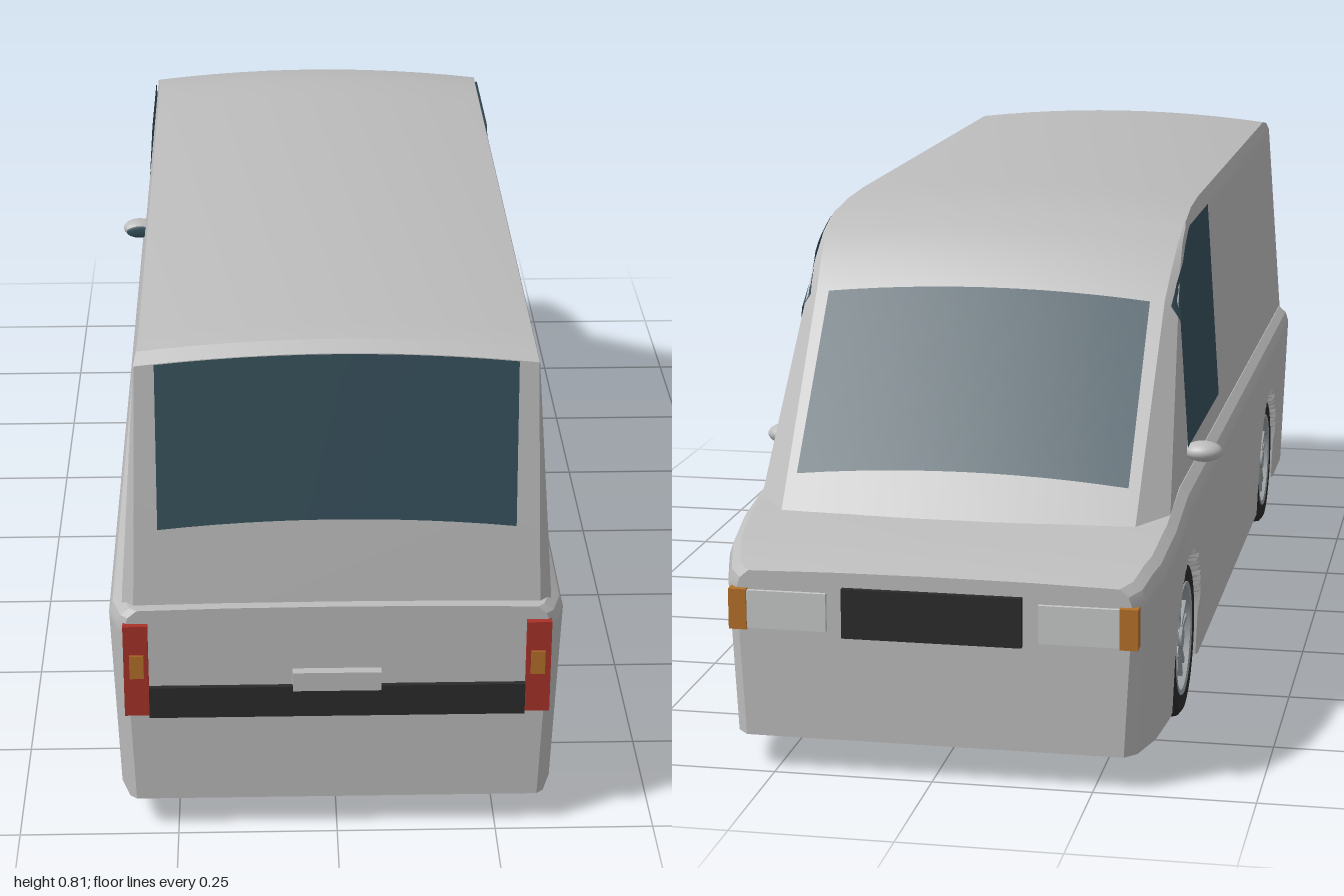
import * as THREE from 'three';
import { toCreasedNormals } from 'three/addons/utils/BufferGeometryUtils.js';

const material = (name, color, side = THREE.FrontSide) => {
  const m = new THREE.MeshStandardMaterial({ color, side });
  m.name = name;
  return m;
};
const paint = material('body paint', 0xbcbcbc);
const glass = material('tinted glass', 0x36505b, THREE.DoubleSide);
const rubber = material('black rubber', 0x2b2b2b);
const red = material('tail red', 0xa8322a);
const amber = material('indicator amber', 0xb5702a);
const lens = material('headlight lens', 0xc6c8c8);
const alloy = material('wheel alloy', 0x9a9fa2);

const { lerp, smoothstep } = THREE.MathUtils;
const mesh = (name, geometry, mat) => {
  const m = new THREE.Mesh(geometry, mat);
  m.name = name;
  return m;
};

// Piecewise linear curve through [input, output] keys
const curve = (keys) => (v) => {
  if (v <= keys[0][0]) return keys[0][1];
  for (let i = 1; i < keys.length; i++) {
    const [a, p] = keys[i - 1], [b, q] = keys[i];
    if (v <= b) return lerp(p, q, (v - a) / (b - a));
  }
  return keys[keys.length - 1][1];
};

// Skin through rows of points; normals point along column x row direction
function skin(rows, crease = 0.4) {
  const n = rows[0].length, index = [];
  for (let r = 0; r < rows.length - 1; r++)
    for (let c = 0; c < n - 1; c++) {
      const a = r * n + c, d = a + n;
      index.push(a, a + 1, d, a + 1, d + 1, d);
    }
  const g = new THREE.BufferGeometry();
  g.setAttribute('position', new THREE.Float32BufferAttribute(rows.flat(2), 3));
  g.setIndex(index);
  return toCreasedNormals(g, crease);
}
const grid = (nu, nv, fn) => Array.from({ length: nu + 1 }, (_, i) =>
  Array.from({ length: nv + 1 }, (_, j) => fn(i / nu, j / nv)));
const mirrorX = (rows) => rows.map((r) => r.map(([x, y, z]) => [-x, y, z]).reverse());

// Lower body: cross-sections along z, dented inwards at the wheels
const AXLES = [-0.615, 0.615];
const beltY = curve([[-0.99, 0.32], [-0.93, 0.342], [-0.82, 0.366], [-0.65, 0.392]]);
const beltX = curve([[-0.99, 0.308], [-0.97, 0.326], [-0.9, 0.344], [-0.8, 0.352],
  [0.93, 0.352], [0.975, 0.338], [0.985, 0.327]]);

function lowerSection(z) {
  const top = beltY(z), hw = beltX(z), half = [];
  for (let i = 0; i <= 30; i++) {
    const y = lerp(0.055, top - 0.03, i / 30);
    let x = hw - 0.012 * (1 - i / 30);
    for (const axle of AXLES) {
      const d = Math.hypot(z - axle, Math.max(0, y - 0.13));
      x = lerp(x, 0.255, 1 - smoothstep(d, 0.134, 0.15));
    }
    half.push([x, y, z]);
  }
  half.push([hw - 0.006, top - 0.012, z], [hw - 0.02, top, z], [hw * 0.5, top + 0.003, z]);
  const other = half.map(([x, y, w]) => [-x, y, w]).reverse();
  return [...half, [0, top + 0.004, z], ...other, half[0]];
}

function lowerBody() {
  const stations = [-0.99, -0.97, -0.93, -0.9, -0.82, -0.8, -0.3, 0, 0.3, 0.85, 0.93, 0.975, 0.985];
  for (const axle of AXLES)
    for (let i = -21; i <= 21; i++) stations.push(axle + i * 0.0078);
  stations.sort((a, b) => a - b);
  const rows = stations.map(lowerSection);
  const cap = (row) => row.map(([, , z]) => [0, 0.2, z]);
  return skin([cap(rows[0]), ...rows, cap(rows[rows.length - 1])]);
}

// Cabin: nose and tail lines, half width and corner chamfers by edge height
const FRONT = [[0.345, -0.83], [0.677, -0.55], [0.72, -0.505], [0.757, -0.455],
  [0.782, -0.39], [0.793, -0.3], [0.797, -0.2]];
const zFront = curve(FRONT);
const edgeAt = curve(FRONT.map(([y, z]) => [z, y]));
const zRear = curve([[0.37, 0.972], [0.775, 0.925], [0.79, 0.905], [0.797, 0.86]]);
const cabinX = curve([[0.345, 0.334], [0.775, 0.304], [0.797, 0.298]]);
const chamferF = curve([[0.345, 0.05], [0.677, 0.02], [0.797, 0]]);
const chamferR = curve([[0.37, 0.02], [0.797, 0]]);
const crown = (t) => 0.018 * (1 - t * t);
const LEVELS = [0.345, 0.5, 0.62, 0.677, 0.72, 0.757, 0.775, 0.782, 0.79, 0.793, 0.797];

function cabin() {
  const group = new THREE.Group();
  group.name = 'cabin';
  const across = Array.from({ length: 13 }, (_, i) => 1 - i / 6);
  const front = LEVELS.map((e) => across.map((t) =>
    [t * (cabinX(e) - chamferF(e)), e + crown(t), zFront(e)]));
  const rear = LEVELS.map((e) => across.map((t) =>
    [t * (cabinX(e) - chamferR(e)), e + crown(t), zRear(e)])).reverse();
  group.add(mesh('windscreenRoofAndTail', skin([...front, ...rear]), paint));
  const sideLine = (pick) => LEVELS.map(pick);
  const side = [
    sideLine((e) => [cabinX(e) - chamferF(e), e, zFront(e)]),
    sideLine((e) => [cabinX(e), e, zFront(e) + chamferF(e)]),
    sideLine((e) => [cabinX(e), e, zRear(e) - chamferR(e)]),
    sideLine((e) => [cabinX(e) - chamferR(e), e, zRear(e)]),
  ];
  group.add(mesh('leftSide', skin(side), paint), mesh('rightSide', skin(mirrorX(side)), paint));
  return group;
}

// Window panes laid just over the cabin surface
function windows() {
  const group = new THREE.Group();
  group.name = 'windows';
  const pane = (hw, y0, y1, zAt, off) => grid(8, 12, (u, v) => {
    const e = lerp(y0, y1, u), x = lerp(hw, -hw, v);
    return [x, e + crown(x / 0.3) + Math.abs(off) * 0.4, zAt(e) + off];
  });
  group.add(mesh('windscreen', skin(pane(0.268, 0.415, 0.672, zFront, -0.005)), glass));
  group.add(mesh('rearWindow', skin(mirrorX(pane(0.273, 0.513, 0.774, zRear, 0.004))), glass));
  const side = grid(24, 10, (u, v) => {
    const z = lerp(-0.55, -0.14, u);
    const y = lerp(0.435, Math.min(0.775, edgeAt(z) - 0.008), v);
    const c = chamferF(y);
    const inset = Math.max(0, zFront(y) + c - z);
    return [cabinX(y) - inset + 0.004, y, z];
  });
  group.add(mesh('leftWindow', skin(side), glass), mesh('rightWindow', skin(mirrorX(side)), glass));
  return group;
}

// Wheel with its axis along x and outer face towards +x
function wheel() {
  const g = new THREE.Group();
  const lathe = (pts) => new THREE.LatheGeometry(pts.map(([r, y]) => new THREE.Vector2(r, y)), 40)
    .rotateZ(-Math.PI / 2);
  const tyre = lathe([[0.088, -0.04], [0.118, -0.04], [0.127, -0.033], [0.13, -0.02], [0.13, 0.02],
    [0.127, 0.033], [0.118, 0.04], [0.093, 0.038], [0.088, 0.02]]);
  g.add(mesh('tyre', toCreasedNormals(tyre, 0.6), rubber));
  g.add(mesh('rim', toCreasedNormals(lathe([[0.095, 0.034], [0.093, 0.04], [0.085, 0.038], [0.081, 0.01]]), 0.6), alloy));
  g.add(mesh('rimBack', new THREE.CylinderGeometry(0.09, 0.09, 0.05, 32).rotateZ(Math.PI / 2).translate(-0.012, 0, 0), glass));
  g.add(mesh('hub', new THREE.CylinderGeometry(0.018, 0.022, 0.03, 20).rotateZ(-Math.PI / 2).translate(0.022, 0, 0), alloy));
  for (let i = 0; i < 5; i++)
    for (const s of [-1, 1]) {
      const spoke = new THREE.BoxGeometry(0.016, 0.074, 0.009).translate(0.024, 0.049, 0);
      spoke.rotateX((i * 2 * Math.PI) / 5 + s * 0.17);
      g.add(mesh('spoke', spoke, alloy));
    }
  return g;
}

function mirror() {
  const g = new THREE.Group();
  g.add(mesh('mirrorShell', new THREE.SphereGeometry(1, 24, 16).scale(0.032, 0.017, 0.027), paint));
  g.add(mesh('mirrorGlass', new THREE.SphereGeometry(1, 24, 12).scale(0.025, 0.012, 0.004).translate(0, 0, 0.025), glass));
  g.add(mesh('mirrorArm', new THREE.BoxGeometry(0.04, 0.012, 0.016).translate(-0.03, -0.004, 0), paint));
  return g;
}

export function createModel() {
  const model = new THREE.Group();
  model.name = 'van';
  model.add(mesh('lowerBody', lowerBody(), paint), cabin(), windows());

  const box = (name, mat, x0, x1, y0, y1, z0, z1) => model.add(mesh(name,
    new THREE.BoxGeometry(x1 - x0, y1 - y0, z1 - z0)
      .translate((x0 + x1) / 2, (y0 + y1) / 2, (z0 + z1) / 2), mat));
  const pair = (name, mat, x0, x1, ...rest) => {
    box(name, mat, x0, x1, ...rest);
    box(name, mat, -x1, -x0, ...rest);
  };

  // Tail details
  pair('tailLight', red, 0.291, 0.329, 0.213, 0.37, 0.972, 0.995);
  pair('tailIndicator', amber, 0.298, 0.32, 0.28, 0.32, 0.99, 0.998);
  box('rearTrim', rubber, -0.291, 0.291, 0.207, 0.26, 0.975, 0.993);
  box('plateHolder', paint, -0.069, 0.068, 0.256, 0.288, 0.975, 1);

  // Nose details
  box('grille', rubber, -0.14, 0.14, 0.222, 0.3, -1, -0.98);
  pair('headlight', lens, 0.165, 0.29, 0.23, 0.29, -0.997, -0.975);
  pair('frontIndicator', amber, 0.29, 0.318, 0.228, 0.292, -1, -0.973);

  for (const s of [1, -1]) {
    const label = s > 0 ? 'left' : 'right';
    for (const z of AXLES) {
      const w = wheel();
      w.name = label + (z < 0 ? 'NoseWheel' : 'TailWheel');
      w.position.set(s * 0.298, 0.13, z);
      if (s < 0) w.rotation.y = Math.PI;
      model.add(w);
    }
    const m = mirror();
    m.name = label + 'Mirror';
    m.position.set(s * 0.354, 0.424, -0.525);
    if (s < 0) m.scale.x = -1;
    model.add(m);
  }
  return model;
}
